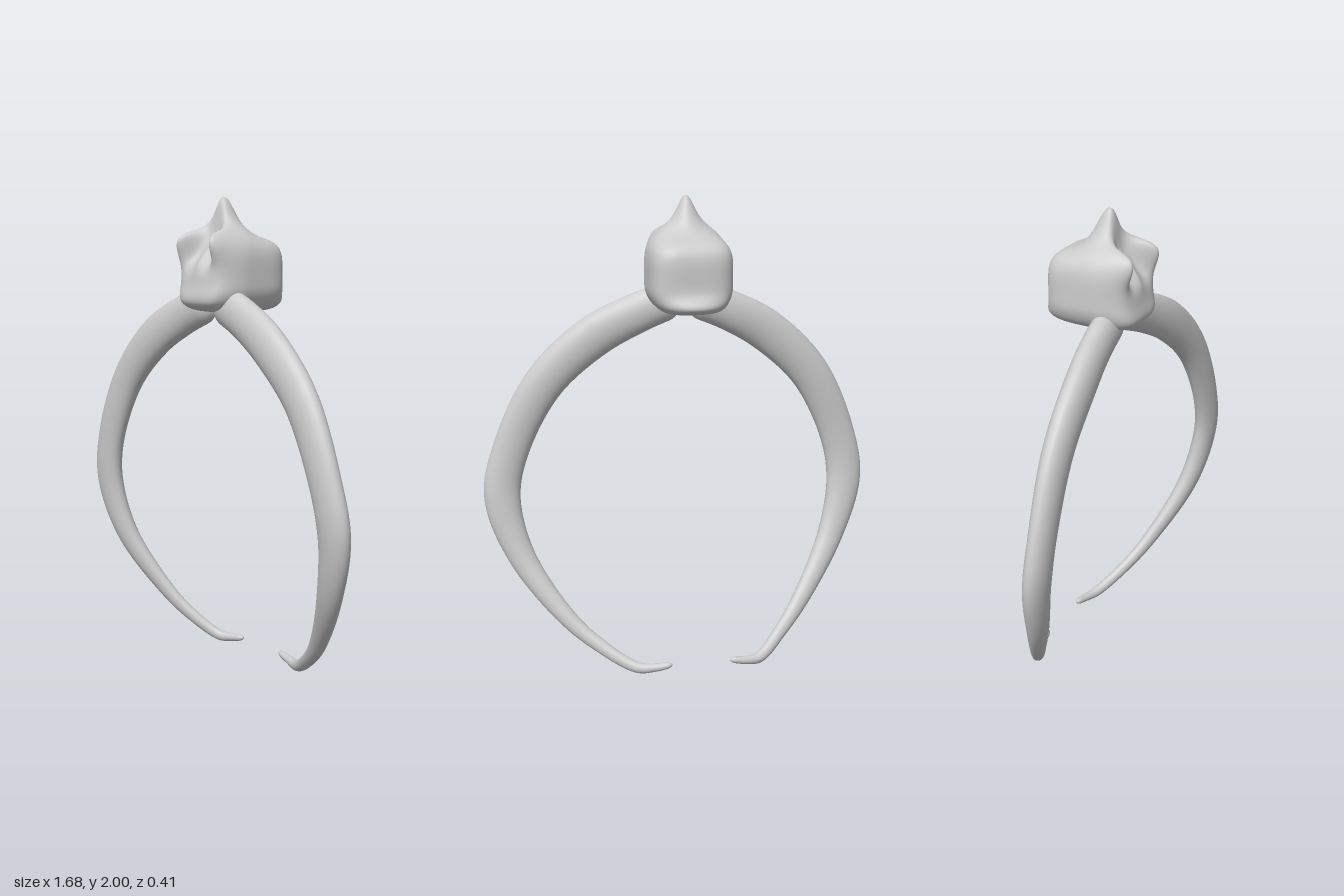
import * as THREE from 'three';
import { mergeVertices } from 'three/addons/utils/BufferGeometryUtils.js';

const material = new THREE.MeshStandardMaterial({ color: 0xcccccc, roughness: 0.8 });
const bell = (d, width) => Math.exp(-((d / width) ** 2));

// Rib stations from spine to tip: x, y, z, half width, half depth, sideways drift
const RIB = [
  [0.02, 1.59, 0.08, 0.08, 0.054, -0.02],
  [0.2, 1.52, 0.093, 0.085, 0.057, -0.02],
  [0.38, 1.42, 0.115, 0.09, 0.056, -0.015],
  [0.58, 1.23, 0.13, 0.085, 0.052, -0.01],
  [0.72, 0.95, 0.14, 0.078, 0.047, -0.005],
  [0.76, 0.74, 0.13, 0.077, 0.047, 0],
  [0.69, 0.485, 0.085, 0.058, 0.042, 0],
  [0.52, 0.23, -0.02, 0.039, 0.03, -0.008],
  [0.405, 0.12, -0.085, 0.03, 0.025, -0.02],
  [0.27, 0.034, -0.16, 0.024, 0.022, -0.04],
  [0.2, 0.035, -0.18, 0.018, 0.018, -0.045],
  [0.125, 0.048, -0.19, 0.013, 0.014, -0.045],
];

// Tapering elliptical tube swept along the rib, rounded at both ends
function ribGeometry(side) {
  const path = new THREE.CatmullRomCurve3(
    RIB.map(([x, y, z, , , drift]) => new THREE.Vector3(side * x + drift, y, z)), false, 'centripetal');
  const sizes = new THREE.CatmullRomCurve3(RIB.map((r) => new THREE.Vector3(r[3], r[4], 0)), false, 'catmullrom', 0.5);
  const rings = 140, sides = 28, cap = 0.035;
  const positions = [], index = [];
  const depthAxis = new THREE.Vector3(0, 0, 1);
  for (let i = 0; i <= rings; i++) {
    const t = i / rings;
    const p = path.getPoint(t), tangent = path.getTangent(t), size = sizes.getPoint(t);
    const across = new THREE.Vector3().crossVectors(tangent, depthAxis).normalize();
    const depth = new THREE.Vector3().crossVectors(across, tangent);
    const e = Math.min(1, Math.min(t, 1 - t) / cap);
    const round = Math.max(0.01, Math.sqrt(1 - (1 - e) ** 2));
    for (let j = 0; j < sides; j++) {
      const a = (j / sides) * Math.PI * 2;
      const v = p.clone()
        .addScaledVector(across, Math.cos(a) * size.x * round)
        .addScaledVector(depth, Math.sin(a) * size.y * round);
      positions.push(v.x, v.y, v.z);
      if (i < rings) {
        const k = i * sides + j, n = i * sides + ((j + 1) % sides);
        index.push(k, k + sides, n, n, k + sides, n + sides);
      }
    }
  }
  const geometry = new THREE.BufferGeometry();
  geometry.setAttribute('position', new THREE.Float32BufferAttribute(positions, 3));
  geometry.setIndex(index);
  geometry.computeVertexNormals();
  return geometry;
}

// Rounded block moulded with a spire, two front prongs, hollows and a rear foot
function vertebraGeometry() {
  let geometry = new THREE.BoxGeometry(2, 2, 2, 40, 40, 40);
  geometry.deleteAttribute('uv');
  geometry.deleteAttribute('normal');
  geometry = mergeVertices(geometry);
  const pos = geometry.attributes.position;
  const u = new THREE.Vector3();
  for (let i = 0; i < pos.count; i++) {
    u.fromBufferAttribute(pos, i);
    u.divideScalar((Math.abs(u.x) ** 4 + Math.abs(u.y) ** 4 + Math.abs(u.z) ** 4) ** 0.25);
    let x = u.x * 0.172, y = u.y * 0.153, z = u.z * 0.185;
    const front = THREE.MathUtils.smoothstep(u.z, 0.2, 0.9);
    const back = THREE.MathUtils.smoothstep(-u.z, 0.2, 0.9);
    const top = THREE.MathUtils.smoothstep(u.y, 0.3, 0.95);
    const y0 = y, z0 = z;
    // narrow the front and the underside slightly
    x *= 1 - 0.08 * front - 0.08 * THREE.MathUtils.smoothstep(-u.y, 0.3, 1);
    // prongs, lower lip, paired hollows and central notch on the front
    z += front * (0.055 * bell(Math.abs(x) - 0.11, 0.045) * bell(y0 - 0.13, 0.06)
      + 0.025 * bell(y0 + 0.12, 0.06)
      - 0.045 * bell(Math.abs(x) - 0.055, 0.04) * bell(y0 - 0.09, 0.06)
      - 0.06 * bell(x, 0.06) * bell(y0 - 0.14, 0.07));
    // foot at the lower back
    z -= back * 0.05 * bell(y0 + 0.125, 0.045) * bell(x, 0.13);
    // broad ridge and narrow spire on top
    y += top * (0.09 * bell(x, 0.11) * bell(z0 - 0.035, 0.085)
      + 0.075 * bell(x, 0.04) * bell(z0 - 0.04, 0.06)
      + 0.03 * front * bell(Math.abs(x) - 0.1, 0.05));
    pos.setXYZ(i, x, y, z);
  }
  geometry.computeVertexNormals();
  return geometry;
}

export function createModel() {
  const model = new THREE.Group();
  model.name = 'vertebraWithRibs';

  const vertebra = new THREE.Mesh(vertebraGeometry(), material);
  vertebra.name = 'vertebra';
  vertebra.position.set(-0.02, 1.692, 0);
  model.add(vertebra);

  for (const [name, side] of [['leftRib', 1], ['rightRib', -1]]) {
    const rib = new THREE.Mesh(ribGeometry(side), material);
    rib.name = name;
    model.add(rib);
  }
  return model;
}
